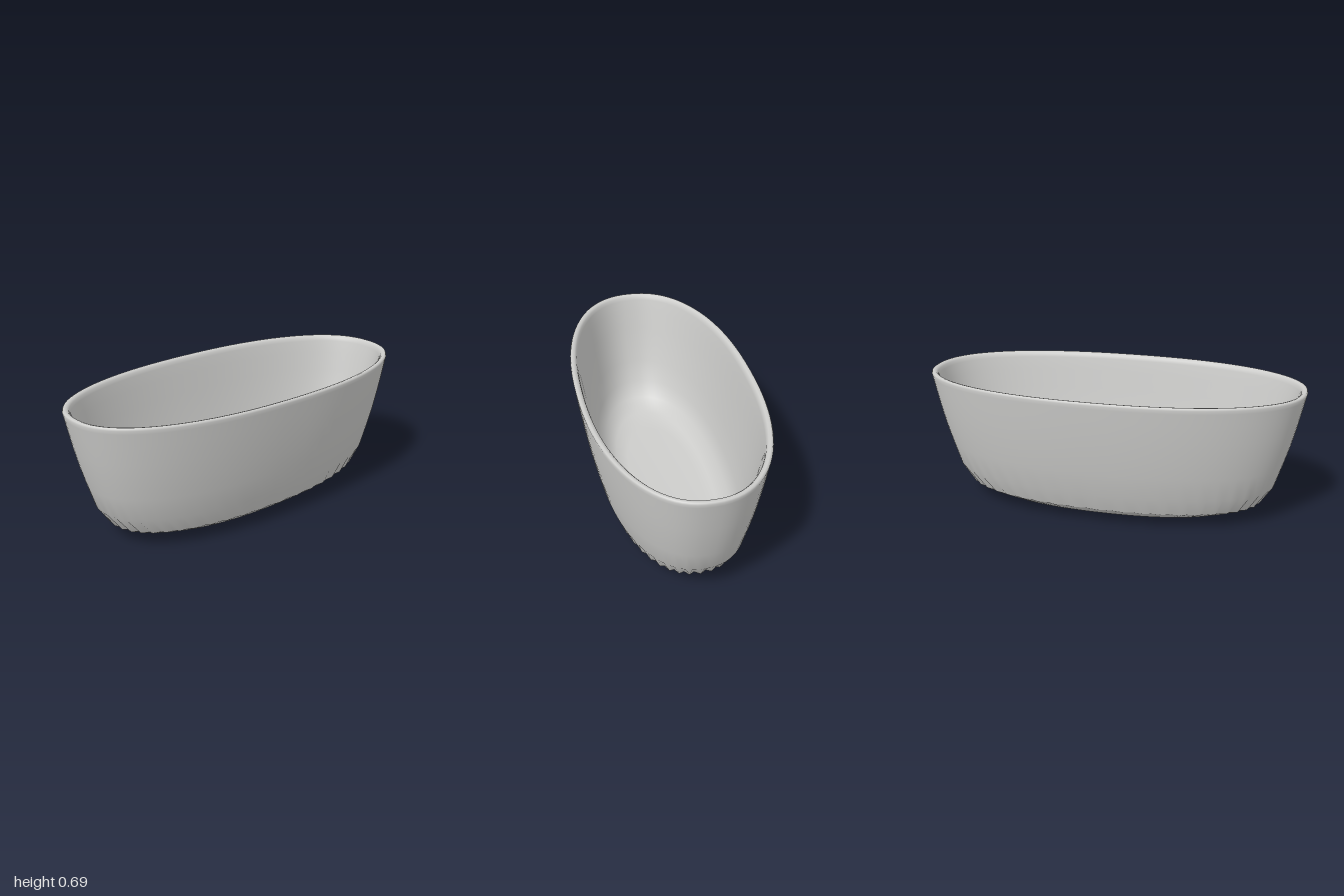
import * as THREE from 'three';
import { mergeVertices, toCreasedNormals } from 'three/addons/utils/BufferGeometryUtils.js';

const SEGMENTS = 96;

// Oval ring point; an exponent above 2 gives slightly fuller ends than an ellipse.
// A ripple pulls every second point inward for a scalloped edge.
function ovalPoint([rx, rz, y, ripple = 0], i, power = 2.25) {
  const t = (i / SEGMENTS) * Math.PI * 2;
  const bend = (v) => Math.sign(v) * Math.pow(Math.abs(v), 2 / power);
  const k = i % 2 ? 1 - ripple : 1;
  return [k * rx * bend(Math.cos(t)), y, k * rz * bend(Math.sin(t))];
}

// Skin a stack of oval rings given as [half length, half width, height, ripple]
function loft(rings) {
  const positions = [], index = [];
  for (const ring of rings) {
    for (let i = 0; i < SEGMENTS; i++) positions.push(...ovalPoint(ring, i));
  }
  for (let r = 0; r < rings.length - 1; r++) {
    for (let i = 0; i < SEGMENTS; i++) {
      const j = (i + 1) % SEGMENTS;
      const a = r * SEGMENTS + i, b = r * SEGMENTS + j;
      const c = a + SEGMENTS, d = b + SEGMENTS;
      if (rings[r][0] > 0) index.push(a, d, b);
      if (rings[r + 1][0] > 0) index.push(a, c, d);
    }
  }
  const geometry = new THREE.BufferGeometry();
  geometry.setAttribute('position', new THREE.Float32BufferAttribute(positions, 3));
  geometry.setIndex(index);
  return geometry;
}

function smooth(geometry) {
  const merged = mergeVertices(geometry, 1e-5);
  merged.computeVertexNormals();
  return merged;
}

export function createModel() {
  const group = new THREE.Group();
  group.name = 'ovalTub';
  const grey = new THREE.MeshStandardMaterial({ color: 0xcdcdcb });
  grey.name = 'lightGrey';

  const add = (name, geometry) => {
    const mesh = new THREE.Mesh(geometry, grey);
    mesh.name = name;
    group.add(mesh);
  };

  // Shallow pointed underside with a scalloped chamfer
  add('base', toCreasedNormals(loft([
    [0, 0, 0],
    [0.61, 0.25, 0.028],
    [0.67, 0.275, 0.036],
    [0.8, 0.337, 0.08, 0.025],
  ]), 0.35));

  // Flared outer wall, rounded rim and the hollow inside down to the thin floor
  add('shell', smooth(loft([
    [0.8, 0.337, 0.08, 0.025],
    [0.865, 0.371, 0.175],
    [0.905, 0.4, 0.3],
    [0.935, 0.42, 0.4],
    [0.96, 0.437, 0.5],
    [0.982, 0.452, 0.6],
    [0.996, 0.46, 0.665],
    [1.0, 0.463, 0.683],
    [0.996, 0.459, 0.692],
    [0.988, 0.451, 0.695],
    [0.976, 0.439, 0.692],
    [0.967, 0.43, 0.683],
    [0.962, 0.425, 0.665],
    [0.945, 0.414, 0.6],
    [0.922, 0.398, 0.5],
    [0.897, 0.381, 0.4],
    [0.867, 0.361, 0.3],
    [0.828, 0.335, 0.18],
    [0.765, 0.3, 0.095],
    [0.66, 0.24, 0.05],
    [0.5, 0.18, 0.042],
    [0, 0, 0.036],
  ])));

  return group;
}
